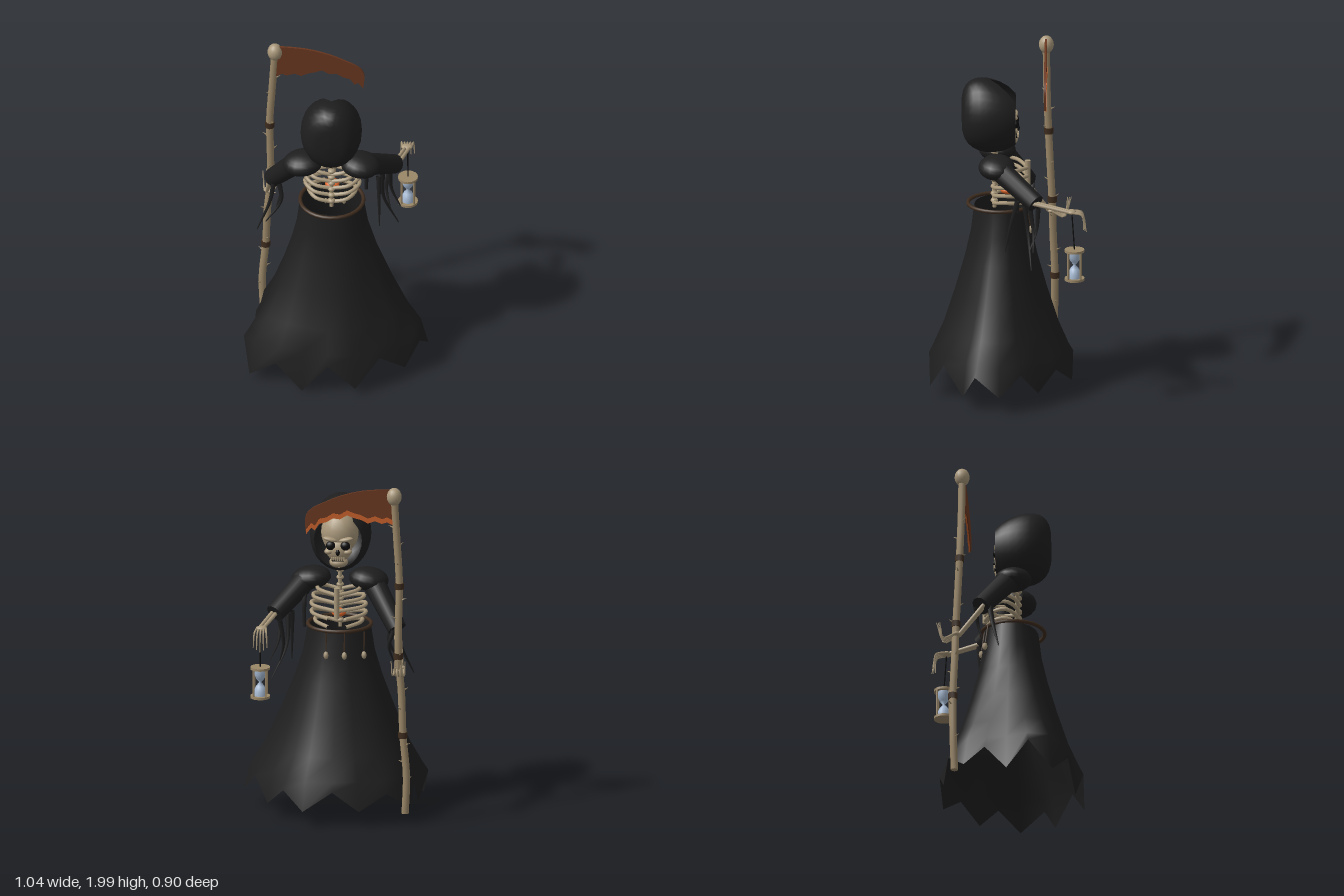
import * as THREE from 'three';

const mat = (name, color, extra = {}) => Object.assign(new THREE.MeshStandardMaterial({ color, ...extra }), { name });
const V = (x, y, z) => new THREE.Vector3(x, y, z);
const CX = -0.03; // centre line of the body

export function createModel() {
  const cloth = mat('black cloth', 0x1e1e1e, { side: THREE.DoubleSide });
  const bone = mat('bone', 0xa8977a);
  const wood = mat('staff wood', 0x9a8768);
  const rust = mat('rusted blade', 0x6b3820, { side: THREE.DoubleSide });
  const edge = mat('blade edge', 0xc8602a);
  const leather = mat('leather', 0x3e2c1e);
  const ember = mat('ember', 0xe0682c);
  const glass = mat('glass', 0xa9bdd6, { side: THREE.DoubleSide });
  const dark = mat('socket black', 0x0c0c0c);
  const model = new THREE.Group();

  const add = (name, geo, material, pos = V(0, 0, 0), parent = model) => {
    const m = new THREE.Mesh(geo, material);
    m.name = name;
    m.position.copy(pos);
    parent.add(m);
    return m;
  };
  const ball = (name, material, pos, rx, ry = rx, rz = rx, parent = model) =>
    add(name, new THREE.SphereGeometry(1, 16, 12).scale(rx, ry, rz), material, pos, parent);
  // Cylinder running from a to b
  const limb = (name, a, b, ra, rb, material, sides = 10, parent = model) => {
    const d = b.clone().sub(a);
    const m = add(name, new THREE.CylinderGeometry(rb, ra, d.length(), sides), material, a.clone().lerp(b, 0.5), parent);
    m.quaternion.setFromUnitVectors(V(0, 1, 0), d.normalize());
    return m;
  };
  // Tube through points, shrinking to `end` times its radius
  const tube = (name, pts, r, material, end = 1, seg = 14, sides = 7) => {
    const curve = new THREE.CatmullRomCurve3(pts);
    const geo = new THREE.TubeGeometry(curve, seg, r, sides);
    const p = geo.attributes.position, v = V(0, 0, 0);
    for (let i = 0; i < p.count; i++) {
      const t = geo.attributes.uv.getX(i), c = curve.getPointAt(t);
      v.fromBufferAttribute(p, i).sub(c).multiplyScalar(1 + (end - 1) * t).add(c);
      p.setXYZ(i, v.x, v.y, v.z);
    }
    return add(name, geo, material);
  };
  // Skin over closed rings of points
  const loft = (rings) => {
    const n = rings[0].length, index = [];
    for (let i = 0; i < rings.length - 1; i++) for (let j = 0; j < n; j++) {
      const a = i * n + j, b = i * n + (j + 1) % n;
      index.push(a, a + n, b, b, a + n, b + n);
    }
    const geo = new THREE.BufferGeometry().setFromPoints(rings.flat());
    geo.setIndex(index);
    geo.computeVertexNormals();
    return geo;
  };

  // Robe skirt: oval waist flaring into a ragged hem (x, z, y)
  const hem = [[-.03, .447, .21], [.126, .44, .055], [.26, .36, .22], [.4, .25, .08], [.48, .18, .22],
    [.52, .04, .11], [.44, -.08, .22], [.36, -.18, .09], [.26, -.28, .2], [.14, -.37, .1],
    [-.03, -.375, .22], [-.18, -.34, .1], [-.335, -.3, .2], [-.46, -.2, .1], [-.47, -.08, .2],
    [-.48, .045, .06], [-.525, .175, .21], [-.485, .31, .04], [-.33, .385, .175], [-.18, .415, .01]];
  const skirtRing = (y, f) => hem.map(([x, z, hy]) => {
    const a = Math.atan2(x - CX, z - 0.035);
    return V(THREE.MathUtils.lerp(CX + 0.182 * Math.sin(a), x, f), y ?? hy,
      THREE.MathUtils.lerp(0.035 + 0.155 * Math.cos(a), z, f));
  });
  add('robeSkirt', loft([skirtRing(1.1, 0), skirtRing(0.95, 0.07), skirtRing(0.8, 0.2), skirtRing(0.6, 0.42),
    skirtRing(0.4, 0.67), skirtRing(0.27, 0.89), skirtRing(null, 1)]), cloth);
  add('belt', new THREE.TorusGeometry(0.181, 0.011, 8, 28).rotateX(Math.PI / 2), leather, V(CX, 1.107, 0.045));
  tube('shoulderStrap', [V(0.16, 1.36, 0), V(0.163, 1.25, -0.05), V(0.16, 1.11, -0.06)], 0.016, cloth, 0.6);

  // Charms hanging from the belt
  for (const [x, z] of [[-0.185, -0.085], [-0.075, -0.115], [0.03, -0.115]]) {
    limb('charmCord', V(x, 1.1, z), V(x, 0.99, z - 0.015), 0.004, 0.004, leather, 5);
    add('charm', new THREE.OctahedronGeometry(1, 1).scale(0.015, 0.024, 0.015), bone, V(x, 0.965, z - 0.018));
  }

  // Hood: rings from the back pole to a rim with a notch over the brow
  const hoodRings = [];
  for (let i = 0; i <= 10; i++) hoodRings.push(Array.from({ length: 28 }, (_, j) => {
    const a = (j / 28) * Math.PI * 2, off = Math.min(a, Math.PI * 2 - a);
    const phi = (i / 10) * (off < 0.7 ? THREE.MathUtils.lerp(1.57, 2.4, off / 0.7) : 2.4);
    const r = Math.pow(Math.max(0, Math.sin(phi)), 0.62), c = Math.cos(phi);
    const z = 0.1 + c * (c > 0 ? 0.163 : 0.2), up = Math.cos(a);
    return V(CX + 0.175 * r * Math.sin(a), 1.63 + 0.215 * r * up + (z - 0.1) * 0.25 * Math.max(0, up), z);
  }));
  add('hood', loft(hoodRings), cloth);

  // Skull
  const skull = new THREE.Group();
  skull.name = 'skull';
  model.add(skull);
  ball('cranium', bone, V(CX, 1.645, 0.055), 0.108, 0.125, 0.102, skull);
  ball('face', bone, V(CX, 1.56, -0.005), 0.075, 0.07, 0.055, skull);
  ball('jaw', bone, V(CX, 1.487, -0.01), 0.054, 0.032, 0.05, skull);
  ball('nose', dark, V(CX, 1.555, -0.06), 0.012, 0.018, 0.01, skull);
  add('mouth', new THREE.BoxGeometry(0.07, 0.008, 0.01), dark, V(CX, 1.508, -0.055), skull);
  for (const s of [-1, 1]) {
    ball('eyeSocket', dark, V(CX + s * 0.042, 1.592, -0.046), 0.028, 0.026, 0.02, skull);
    const brow = ball('brow', bone, V(CX + s * 0.045, 1.628, -0.04), 0.042, 0.013, 0.02, skull);
    brow.rotation.z = s * 0.2;
    ball('cheekbone', bone, V(CX + s * 0.055, 1.555, -0.038), 0.025, 0.016, 0.022, skull);
  }
  for (let i = -3; i <= 3; i++)
    add('tooth', new THREE.BoxGeometry(0.009, 0.018, 0.01), bone, V(CX + i * 0.0115, 1.518, -0.06), skull);

  // Spine, ribs and breastbone
  for (let y = 1.12; y < 1.5; y += 0.042) ball('vertebra', bone, V(CX, y, 0.075), 0.022, 0.015, 0.022);
  limb('spine', V(CX, 1.08, 0.075), V(CX, 1.52, 0.06), 0.011, 0.011, bone);
  limb('breastbone', V(CX, 1.18, -0.115), V(CX, 1.36, -0.115), 0.015, 0.017, bone);
  [0.12, 0.145, 0.155, 0.155, 0.135].forEach((w, i) => {
    const y = 1.325 - i * 0.048;
    for (const s of [-1, 1])
      tube('rib', [V(CX, y - 0.022, 0.075), V(CX + s * w * 0.65, y - 0.002, 0.072), V(CX + s * w, y + 0.014, 0.01),
        V(CX + s * w * 0.92, y + 0.008, -0.05), V(CX + s * (i < 3 ? 0.01 : 0.05), y - 0.006, -0.112)], 0.0115, bone);
  });
  ball('emberHeart', ember, V(CX, 1.185, 0), 0.042, 0.024, 0.042);

  // Arms: shoulder pad, sleeve, torn strands, two forearm bones, hand
  const arms = [
    { s: -1, end: V(-0.375, 1.13, -0.11), wrist: V(-0.405, 0.94, -0.23), tip: V(0, 0.08, -0.11), mid: V(0, -0.03, -0.07),
      strands: [[[-.37, 1.13, -.06], [-.39, 1.01, -.04], [-.46, .84, 0]], [[-.34, 1.14, -.06], [-.325, 1.02, -.04], [-.41, .89, -.01]],
        [[-.36, 1.13, -.14], [-.33, 1.03, -.13], [-.355, .93, -.1]]] },
    { s: 1, end: V(0.32, 1.215, -0.165), wrist: V(0.375, 1.185, -0.355), tip: V(0, -0.12, -0.08), mid: V(0, -0.012, -0.055),
      strands: [[[.25, 1.2, -.1], [.255, 1.02, -.12], [.34, .82, -.14]], [[.29, 1.19, -.13], [.3, 1.05, -.15], [.35, .93, -.15]],
        [[.29, 1.18, -.18], [.27, 1.04, -.17], [.295, .92, -.13]], [[.23, 1.2, -.06], [.235, 1.05, -.02], [.24, .9, .01]]] },
  ];
  for (const { s, end, wrist, tip, mid, strands } of arms) {
    const pad = ball('shoulderPad', cloth, V(CX + s * 0.165, 1.372, 0.06), 0.115, 0.066, 0.105);
    pad.rotation.z = -s * 0.12;
    limb('sleeve', V(CX + s * 0.19, 1.365, 0.045), end, 0.066, 0.055, cloth, 12);
    strands.forEach((pts) => tube('sleeveStrand', pts.map((p) => V(...p)), 0.016, cloth, 0.2, 10, 5));
    for (const o of [-0.012, 0.012])
      limb('forearmBone', end.clone().add(V(o, 0.004, 0.02)), wrist.clone().add(V(o, 0, 0)), 0.012, 0.01, bone, 8);
    ball('palm', bone, wrist.clone().add(V(0, 0, -0.015)), 0.033, 0.014, 0.026);
    for (let f = -2; f <= 2; f++) {
      const base = wrist.clone().add(V(f * 0.013, 0, -0.02)), k = 1 - Math.abs(f) * 0.1;
      tube('finger', [base, base.clone().add(mid).add(V(f * 0.004, 0, 0)),
        base.clone().addScaledVector(tip, k).add(V(f * 0.007, 0, 0))], 0.0068, bone, 0.4, 8, 6);
    }
  }

  // Hourglass hanging from the left hand
  const hourglass = new THREE.Group();
  hourglass.name = 'hourglass';
  hourglass.position.set(0.38, 0.87, -0.387);
  model.add(hourglass);
  const profile = [[0.036, -0.08], [0.036, -0.05], [0.024, -0.022], [0.006, 0], [0.024, 0.022], [0.036, 0.05], [0.036, 0.08]];
  add('glassBulbs', new THREE.LatheGeometry(profile.map(([x, y]) => new THREE.Vector2(x, y)), 16), glass, undefined, hourglass);
  for (const s of [-1, 1])
    add('endPlate', new THREE.CylinderGeometry(0.057, 0.057, 0.014, 16), wood, V(0, s * 0.085, 0), hourglass);
  for (let i = 0; i < 4; i++) {
    const a = Math.PI / 4 + i * Math.PI / 2, x = 0.05 * Math.cos(a), z = 0.05 * Math.sin(a);
    limb('post', V(x, -0.08, z), V(x, 0.08, z), 0.006, 0.006, wood, 6, hourglass);
  }
  limb('cord', V(0, 0.09, 0), V(0, 0.31, 0.015), 0.004, 0.004, dark, 5, hourglass);

  // Scythe staff with knob, bands and thorns
  const path = [[-.37, 1.94, -.217], [-.385, 1.7, -.22], [-.4, 1.45, -.228], [-.397, 1.2, -.24], [-.397, 1, -.25],
    [-.415, .8, -.255], [-.425, .55, -.265], [-.445, .3, -.262], [-.437, .08, -.255]].map((p) => V(...p));
  tube('staff', path, 0.021, wood, 1, 40, 8);
  add('staffFoot', new THREE.CylinderGeometry(0.021, 0.021, 0.006, 8), wood, path[8]);
  ball('staffKnob', bone, V(-0.37, 1.945, -0.217), 0.043, 0.052, 0.043);
  const curve = new THREE.CatmullRomCurve3(path);
  for (const t of [0.28, 0.5, 0.75])
    add('staffBand', new THREE.CylinderGeometry(0.027, 0.027, 0.035, 8), leather, curve.getPointAt(t));
  for (let i = 0; i < 15; i++) {
    const p = curve.getPointAt(0.1 + i * 0.057), a = i * 2.4;
    const d = V(Math.cos(a), 0.5, Math.sin(a));
    limb('thorn', p.clone().addScaledVector(d, 0.012), p.clone().addScaledVector(d, 0.043), 0.007, 0.0008, wood, 5);
  }

  // Scythe blade with a wavy, bright cutting edge on its front
  const lower = [[.135, 1.71], [.105, 1.75], [.085, 1.735], [.06, 1.775], [.02, 1.785], [-.02, 1.81], [-.06, 1.805],
    [-.1, 1.83], [-.14, 1.815], [-.18, 1.805], [-.22, 1.785], [-.26, 1.80], [-.3, 1.785], [-.33, 1.795], [-.37, 1.775]];
  const outline = new THREE.Shape();
  outline.moveTo(-0.37, 1.985);
  outline.splineThru([[-.27, 1.982], [-.17, 1.97], [-.07, 1.943], [.01, 1.91], [.105, 1.86], [.14, 1.805], [.135, 1.71]]
    .map((p) => new THREE.Vector2(...p)));
  lower.slice(1).forEach(([x, y]) => outline.lineTo(x, y));
  const flat = (shape, depth) => new THREE.ExtrudeGeometry(shape, { depth, bevelEnabled: false, curveSegments: 20 });
  add('blade', flat(outline, 0.012), rust, V(0, 0, -0.221));
  const strip = new THREE.Shape();
  lower.forEach(([x, y], i) => (i ? strip.lineTo(x, y - 0.002) : strip.moveTo(x, y - 0.002)));
  [...lower].reverse().forEach(([x, y]) => strip.lineTo(x, y + 0.026));
  add('bladeEdge', flat(strip, 0.009), edge, V(0, 0, -0.224));

  return model;
}
